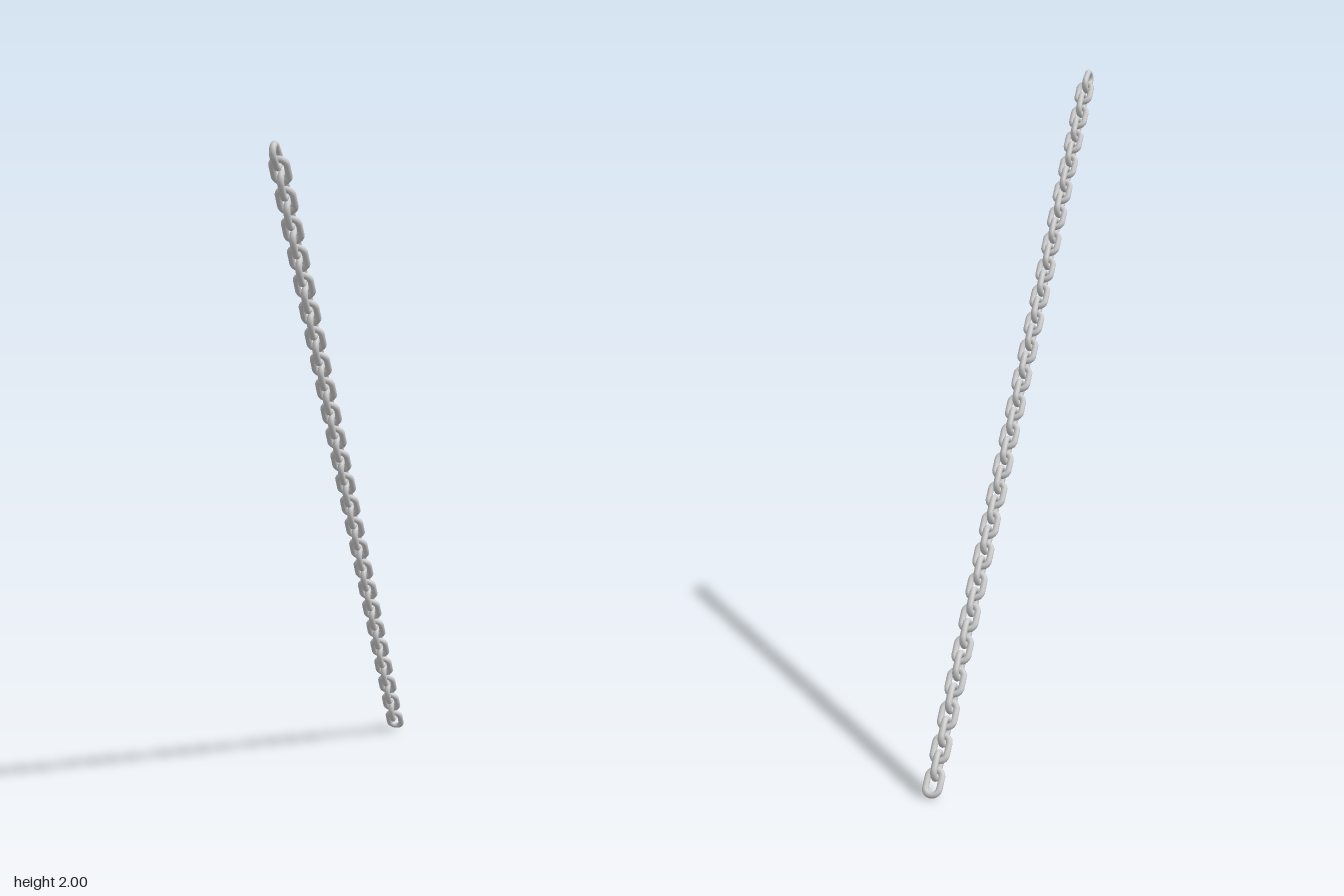
import * as THREE from 'three';

// Long-link shape: a ring pulled apart at the middle into a stadium
function linkGeometry(halfLength, halfWidth, wire) {
  const geo = new THREE.TorusGeometry(halfWidth, wire, 10, 22);
  const pos = geo.attributes.position;
  for (let i = 0; i < pos.count; i++) {
    const x = pos.getX(i);
    pos.setX(i, x + Math.sign(x) * (halfLength - halfWidth));
  }
  return geo;
}

export function createModel() {
  const group = new THREE.Group();
  group.name = 'chain';
  const material = new THREE.MeshStandardMaterial({ color: 0xcccccc });
  const geometry = linkGeometry(0.037, 0.021, 0.0095);

  // The chain hangs in one vertical plane: "along" is its ground direction
  const along = new THREE.Vector3(-0.682, 0, 0.731).normalize();
  const up = new THREE.Vector3(0, 1, 0);
  const side = new THREE.Vector3().crossVectors(up, along);

  // Place a link at distance h and height y, tilted by angle, flat or upright
  function addLink(name, h, y, angle, flat) {
    const axis = along.clone().multiplyScalar(Math.cos(angle)).addScaledVector(up, Math.sin(angle));
    const across = flat ? side.clone() : new THREE.Vector3().crossVectors(axis, side);
    const normal = new THREE.Vector3().crossVectors(axis, across);
    const mesh = new THREE.Mesh(geometry, material);
    mesh.name = name;
    mesh.quaternion.setFromRotationMatrix(new THREE.Matrix4().makeBasis(axis, across, normal));
    mesh.position.copy(along).multiplyScalar(h).addScaledVector(up, y);
    group.add(mesh);
  }

  // Taut run of alternating links
  const start = [-0.752, 0.039], end = [0.71, 1.922], steps = 48;
  const slope = Math.atan2(end[1] - start[1], end[0] - start[0]);
  for (let i = 0; i <= steps; i++) {
    const t = i / steps;
    addLink(i % 2 ? 'uprightLink' : 'flatLink',
      THREE.MathUtils.lerp(start[0], end[0], t),
      THREE.MathUtils.lerp(start[1], end[1], t), slope, i % 2 === 0);
  }

  // Loose top link, swung a little flatter than the rest
  addLink('endLink', 0.752, 1.959, THREE.MathUtils.degToRad(37), false);
  return group;
}
